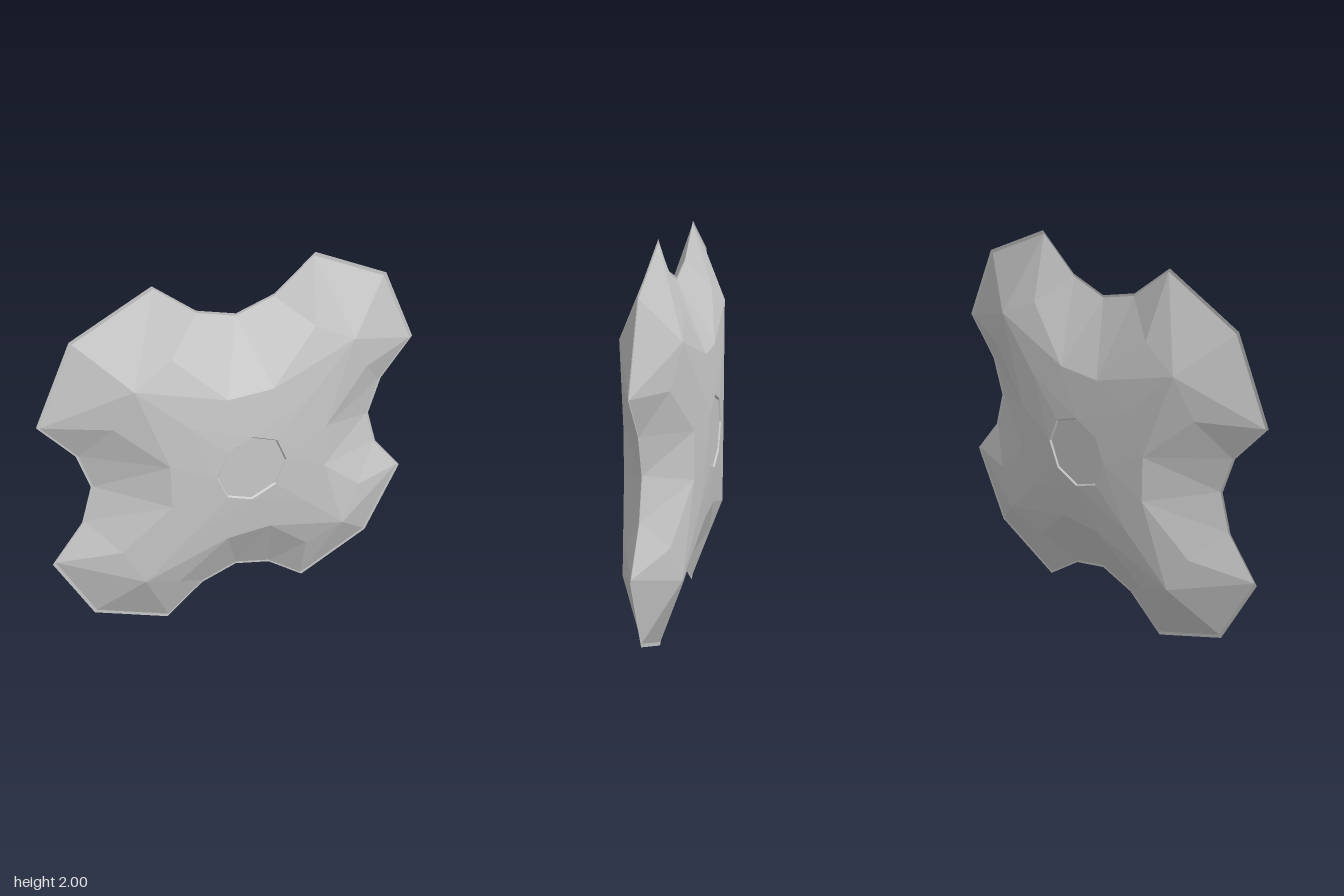
import * as THREE from 'three';

const grey = new THREE.MeshStandardMaterial({ color: 0xc8c8c8 });
grey.name = 'stoneGrey';
grey.flatShading = true;
grey.side = THREE.DoubleSide;

const RIM = 0.984; // the domed shell stops just short of the flat rim

// Corner points of one eighth of the front (angles 0 to 45 degrees)
const outline = { o0: [0.77, 0, 0], o1: [0.83, 0.2, 0], o2: [1, 0.41, 0], o3: [0.81, 0.81, 0] };
const P = {
  centre: [0, 0, 0.187],
  i0: [0.182, 0, 0.187], i1: [0.129, 0.129, 0.187],   // recessed hub edge
  h0: [0.19, 0, 0.195], h1: [0.134, 0.134, 0.195],    // hub rim
  m: [0.42, 0, 0.17], a: [0.42, 0.12, 0.17], d: [0.32, 0.32, 0.176], // inner ring
  s: [0.67, 0.37, 0.108], e: [0.57, 0.57, 0.145],     // shoulder ring
  ...outline,
};
// Inner edge of the rim, where the shell meets it
for (const k of Object.keys(outline)) P['v' + k[1]] = outline[k].map((c) => c * RIM);

const shellFaces = [
  'h0 a d h1', 'h0 m a', 'm v0 a', 'a v0 v1 s', 'v1 v2 s', 'e s v2 v3', 'a s e d',
];
const hubFaces = ['centre i0 i1'];
const grooveFaces = ['i0 h0 h1 i1'];
const rimFaces = ['v0 o0 o1 v1', 'v1 o1 o2 v2', 'v2 o2 o3 v3'];

// Repeats the faces of one eighth around the centre, mirroring every other one
function radial(name, faces) {
  const pos = [];
  for (let q = 0; q < 4; q++) {
    const c = Math.round(Math.cos((q * Math.PI) / 2));
    const s = Math.round(Math.sin((q * Math.PI) / 2));
    for (const flip of [false, true]) {
      for (const face of faces) {
        const pts = face.split(' ').map((k) => {
          const [x, y, z] = P[k];
          const my = flip ? -y : y;
          return [x * c - my * s, x * s + my * c, z];
        });
        // Fan from the first corner, with the winding turned on mirrored copies
        for (let i = 1; i < pts.length - 1; i++) {
          const [b, t] = flip ? [pts[i + 1], pts[i]] : [pts[i], pts[i + 1]];
          pos.push(...pts[0], ...b, ...t);
        }
      }
    }
  }
  const g = new THREE.BufferGeometry();
  g.setAttribute('position', new THREE.Float32BufferAttribute(pos, 3));
  g.computeVertexNormals();
  const mesh = new THREE.Mesh(g, grey);
  mesh.name = name;
  return mesh;
}

export function createModel() {
  const model = new THREE.Group();
  model.name = 'fourLobedDisc';

  // Domed face with recessed hub, once for the front and once for the back
  for (const side of ['front', 'back']) {
    const half = new THREE.Group();
    half.name = side + 'Half';
    half.add(
      radial(side + 'Shell', shellFaces),
      radial(side + 'Hub', hubFaces),
      radial(side + 'HubGroove', grooveFaces),
    );
    if (side === 'back') half.rotation.y = Math.PI;
    half.position.y = 1;
    model.add(half);
  }

  // Flat rim between the two halves
  const rim = radial('rim', rimFaces);
  rim.position.y = 1;
  model.add(rim);

  return model;
}
